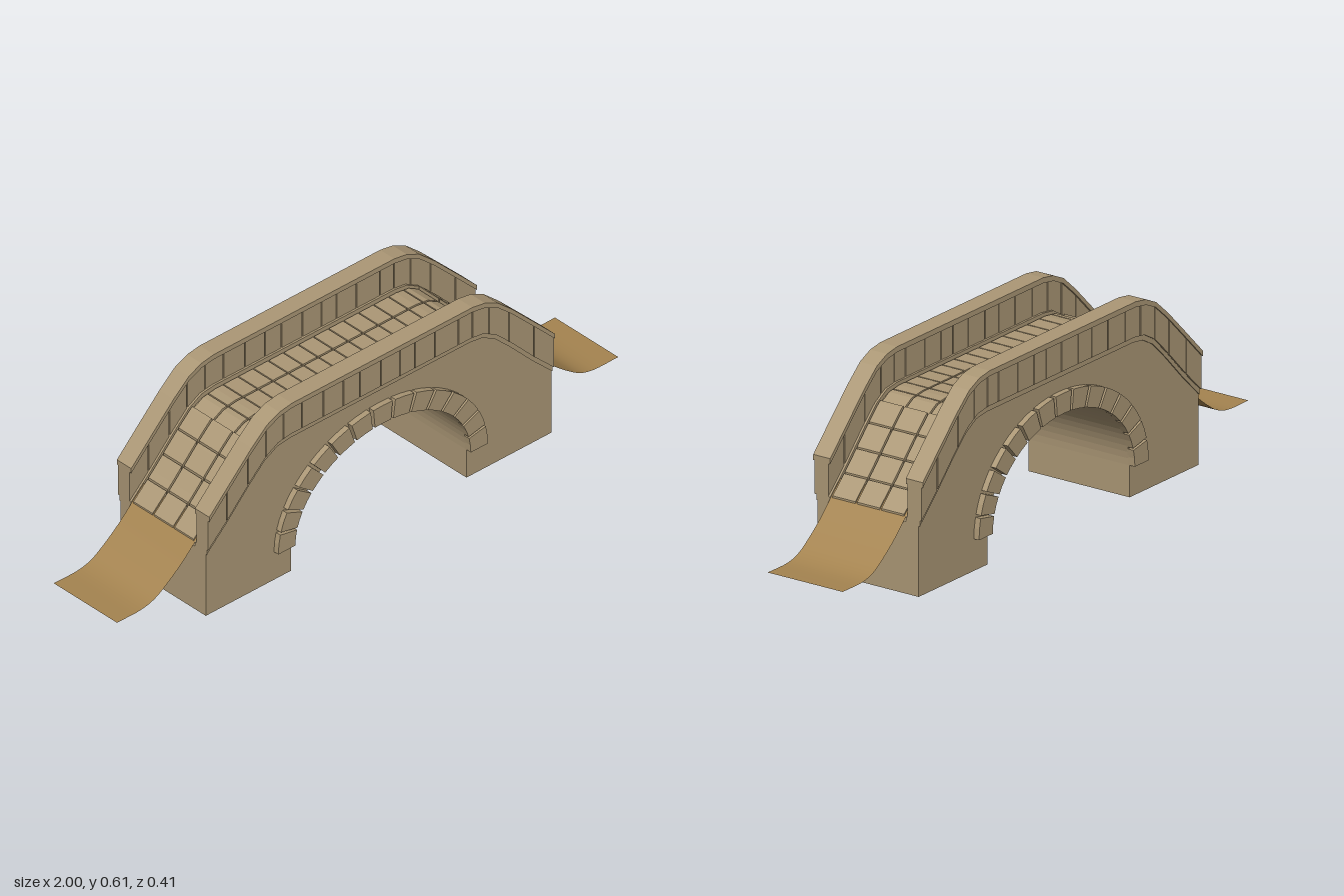
import * as THREE from 'three';

// Shared stations along half the bridge, with deck line and parapet top at each
const XS = [0, 0.36, 0.41, 0.46, 0.52, 0.61, 0.69];
const DECK = [0.487, 0.487, 0.48, 0.452, 0.395, 0.302, 0.226];
const RAIL = [0.613, 0.613, 0.605, 0.582, 0.53, 0.441, 0.361];

function sample(table, x) {
  const a = Math.min(Math.abs(x), 0.69);
  let i = 0;
  while (i < XS.length - 2 && a > XS[i + 1]) i++;
  return THREE.MathUtils.lerp(table[i], table[i + 1], (a - XS[i]) / (XS[i + 1] - XS[i]));
}
const deck = (d) => (x) => sample(DECK, x) + d;
const rail = (d) => (x) => sample(RAIL, x) + d;

// Extrude an x-y outline between two z values
function prism(points, z0, z1) {
  const shape = new THREE.Shape(points.map(([x, y]) => new THREE.Vector2(x, y)));
  const geo = new THREE.ExtrudeGeometry(shape, { depth: z1 - z0, bevelEnabled: false });
  return geo.translate(0, 0, z0);
}

// Outline between a lower and an upper curve from x0 to x1
function strip(x0, x1, low, high) {
  const bends = [...XS.map((x) => -x).reverse(), ...XS.slice(1)];
  const xs = [x0, ...bends.filter((x) => x > x0 + 0.001 && x < x1 - 0.001), x1];
  return [...xs.map((x) => [x, low(x)]), ...xs.reverse().map((x) => [x, high(x)])];
}

const SPRING = 0.1;
const arc = (t, rx, ry) => [rx * Math.cos(t), SPRING + ry * Math.sin(t)];

export function createModel() {
  const model = new THREE.Group();
  const stone = new THREE.MeshStandardMaterial({ color: 0xac9876 });
  stone.name = 'stone';
  const earth = new THREE.MeshStandardMaterial({ color: 0xa58450, side: THREE.DoubleSide });
  earth.name = 'packed earth';

  function add(parent, name, geo, mat = stone) {
    const mesh = new THREE.Mesh(geo, mat);
    mesh.name = name;
    parent.add(mesh);
  }
  function group(name) {
    const g = new THREE.Group();
    g.name = name;
    model.add(g);
    return g;
  }

  // Main body with arched opening
  const outline = [[-0.69, 0], [-0.35, 0]];
  for (let i = 0; i <= 40; i++) outline.push(arc(Math.PI * (1 - i / 40), 0.35, 0.272));
  outline.push([0.35, 0], [0.69, 0]);
  for (const x of XS.slice().reverse()) outline.push([x, deck(0)(x)]);
  for (const x of XS.slice(1)) outline.push([-x, deck(0)(x)]);
  add(model, 'bridgeBody', prism(outline, -0.185, 0.185));

  // Arch ring stones on both faces
  const ring = group('archStones');
  const count = 15, gap = 0.013;
  for (let i = 0; i < count; i++) {
    const a = (Math.PI * i) / count + (i ? gap : 0);
    const b = (Math.PI * (i + 1)) / count - (i < count - 1 ? gap : 0);
    const m = (a + b) / 2;
    const pts = [
      ...[a, m, b].map((t) => arc(t, 0.418, 0.336)),
      ...[b, m, a].map((t) => arc(t, 0.35, 0.272)),
    ];
    add(ring, 'archStone', prism(pts, 0.18, 0.204));
    add(ring, 'archStone', prism(pts, -0.204, -0.18));
  }

  // Parapets: base course, recessed core, separate blocks and coping
  const joints = [-0.69, -0.615, -0.53, -0.46, -0.39, -0.315, -0.23, -0.15, -0.083, 0,
    0.075, 0.135, 0.215, 0.31, 0.365, 0.43, 0.51, 0.61, 0.69];
  for (const side of [1, -1]) {
    const parapet = group(side > 0 ? 'frontParapet' : 'backParapet');
    const wall = (name, x0, x1, low, high, zIn, zOut) => {
      const z = side > 0 ? [zIn, zOut] : [-zOut, -zIn];
      add(parapet, name, prism(strip(x0, x1, low, high), ...z));
    };
    wall('baseCourse', -0.69, 0.69, deck(-0.005), deck(0.015), 0.138, 0.189);
    wall('parapetCore', -0.686, 0.686, deck(0.012), rail(-0.016), 0.15, 0.19);
    wall('coping', -0.69, 0.69, rail(-0.017), rail(0), 0.138, 0.2);
    for (let i = 0; i < joints.length - 1; i++) {
      wall('parapetBlock', joints[i] + (i ? 0.002 : 0),
        joints[i + 1] - (i < joints.length - 2 ? 0.002 : 0),
        deck(0.013), rail(-0.016), 0.145, 0.195);
    }
  }

  // Paving: three columns of slabs following the deck
  const paving = group('paving');
  const rows = 23, pitch = 1.38 / rows;
  for (let r = 0; r < rows; r++) {
    const x0 = -0.69 + r * pitch + 0.002;
    const pts = strip(x0, x0 + pitch - 0.004, deck(-0.01), (x) => deck(0.008)(x) + (Math.abs(x) > 0.45 ? 0.01 : 0));
    for (const z of [-0.089, 0, 0.089]) add(paving, 'pavingSlab', prism(pts, z - 0.0415, z + 0.0415));
  }

  // Curved earth ramps at both ends
  const path = new THREE.CatmullRomCurve3([
    [0.64, 0.285], [0.69, 0.238], [0.74, 0.19], [0.8, 0.143], [0.85, 0.112], [0.9, 0.099], [1, 0.098],
  ].map(([x, y]) => new THREE.Vector3(x, y, 0)));
  for (const side of [1, -1]) {
    const geo = new THREE.PlaneGeometry(1, 0.274, 24, 1).rotateX(-Math.PI / 2);
    const pos = geo.attributes.position;
    for (let i = 0; i < pos.count; i++) {
      const t = THREE.MathUtils.clamp(pos.getX(i) * side + 0.5, 0, 1);
      const p = path.getPoint(t);
      pos.setX(i, p.x * side);
      pos.setY(i, p.y);
    }
    geo.computeVertexNormals();
    add(model, side > 0 ? 'leftRamp' : 'rightRamp', geo, earth);
  }
  return model;
}
